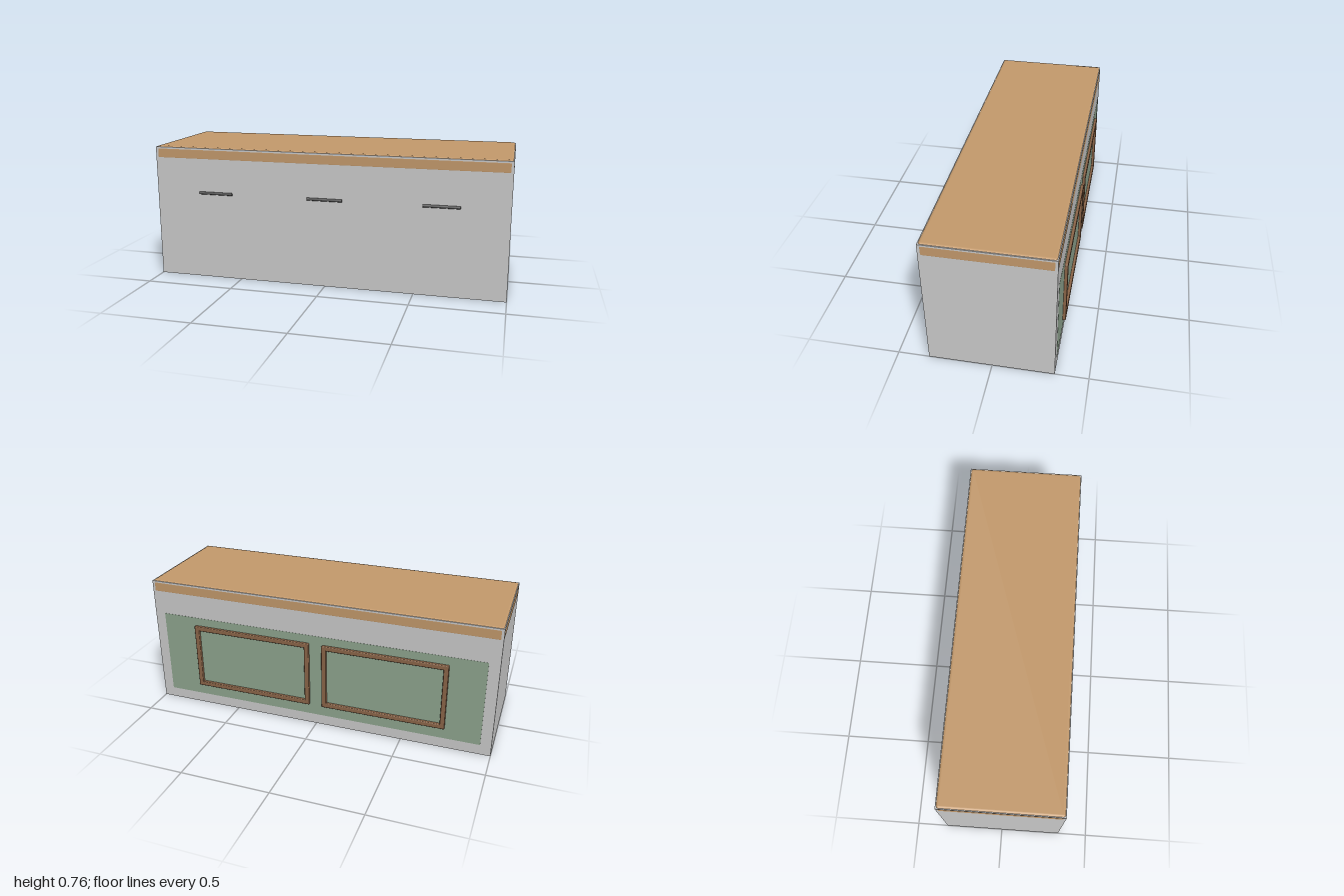
import * as THREE from 'three';
import { RoundedBoxGeometry } from 'three/addons/geometries/RoundedBoxGeometry.js';

const paint = (color) => new THREE.MeshStandardMaterial({ color });
const BODY = { width: 2, height: 0.757, front: 0.335, back: -0.325 };
const MID_Z = (BODY.front + BODY.back) / 2;
const DEPTH = BODY.front - BODY.back;

function addMesh(parent, name, geometry, material, x, y, z) {
  const mesh = new THREE.Mesh(geometry, material);
  mesh.name = name;
  mesh.position.set(x, y, z);
  parent.add(mesh);
  return mesh;
}

// Rectangular moulding made of four softly rounded bars
function createFrame(width, height, bar, depth, material) {
  const frame = new THREE.Group();
  frame.name = 'backFrame';
  const rail = new RoundedBoxGeometry(width, bar, depth, 2, 0.005);
  const stile = new RoundedBoxGeometry(bar, height - bar, depth, 2, 0.005);
  for (const side of [-1, 1]) {
    addMesh(frame, 'frameRail', rail, material, 0, side * (height - bar) / 2, 0);
    addMesh(frame, 'frameStile', stile, material, side * (width - bar) / 2, 0, 0);
  }
  return frame;
}

export function createModel() {
  const model = new THREE.Group();
  model.name = 'counter';
  const grey = paint(0xcccccc);
  const wood = paint(0xc49a6c);
  const darkWood = paint(0x8b6548);
  const metal = paint(0x555555);
  const green = paint(0x8fa58f);

  // Cabinet body
  addMesh(model, 'body', new THREE.BoxGeometry(BODY.width, BODY.height, DEPTH), grey,
    0, BODY.height / 2, MID_Z);

  // Wooden worktop with rounded edges, let into the body
  addMesh(model, 'worktop', new RoundedBoxGeometry(BODY.width + 0.001, 0.08, DEPTH + 0.001, 3, 0.018), wood,
    0, 0.722, MID_Z);

  // Thin panel on the back
  addMesh(model, 'backPanel', new THREE.BoxGeometry(1.88, 0.5, 0.02), green,
    0, 0.31, BODY.back + 0.009);

  // Two moulded frames on the back panel
  for (const side of [-1, 1]) {
    const frame = createFrame(0.705, 0.387, 0.027, 0.036, darkWood);
    frame.position.set(side * 0.39, 0.3185, BODY.back);
    model.add(frame);
  }

  // Three bar handles on the front
  const handle = new THREE.CylinderGeometry(0.008, 0.008, 0.2, 16).rotateZ(Math.PI / 2);
  for (const x of [-0.64, 0, 0.64]) {
    addMesh(model, 'handle', handle, metal, x, 0.5, BODY.front);
  }

  return model;
}
